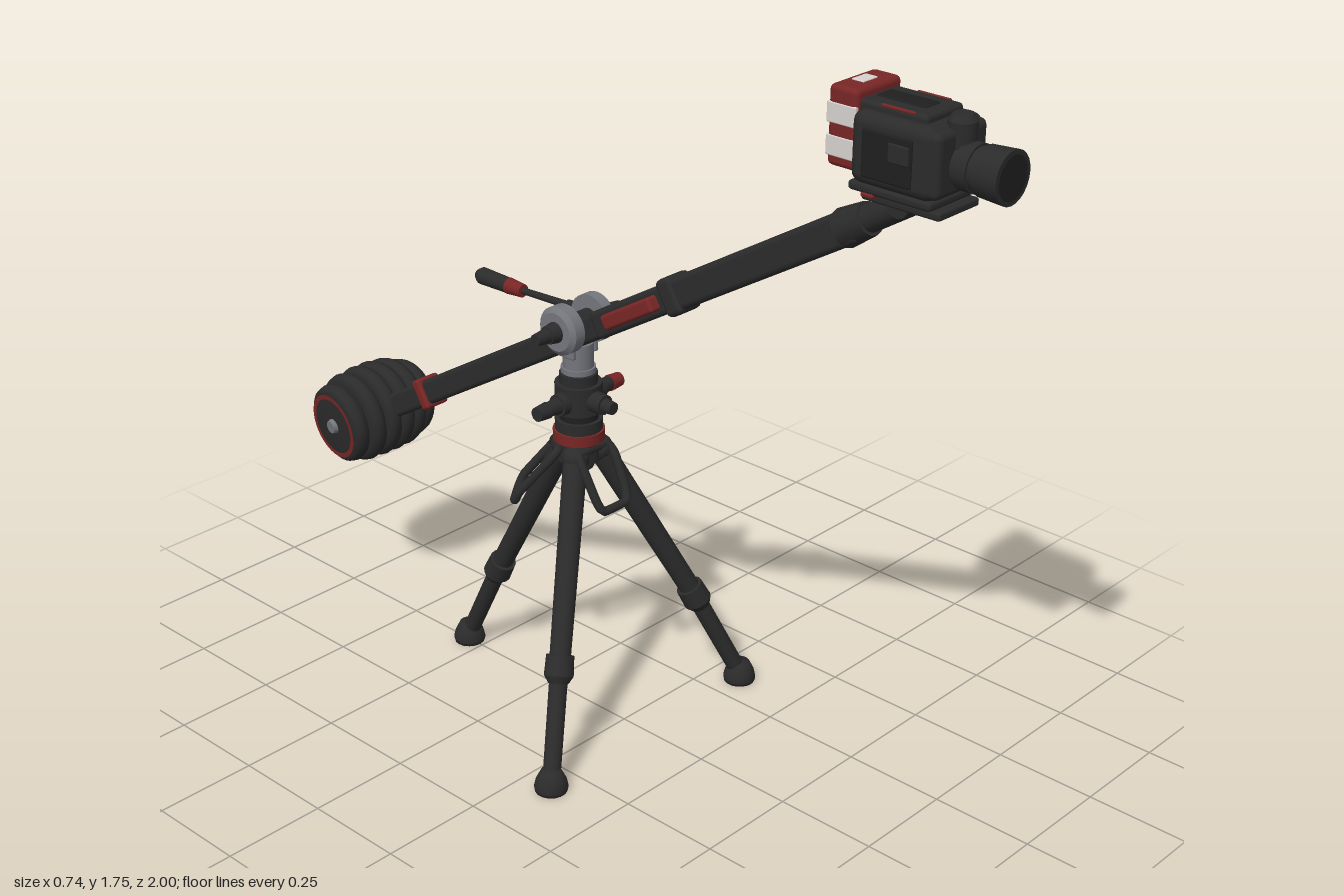
import * as THREE from 'three';
import { RoundedBoxGeometry } from 'three/addons/geometries/RoundedBoxGeometry.js';

const mat = (name, color) => {
  const m = new THREE.MeshStandardMaterial({ color });
  m.name = name;
  return m;
};

export function createModel() {
  const black = mat('matte black', 0x2b2b2c);
  const dark = mat('deep black', 0x1f1f20);
  const red = mat('dark red', 0x782625);
  const grey = mat('metal grey', 0x74767c);
  const white = mat('stripe white', 0xd6d2ce);
  const model = new THREE.Group();
  model.name = 'cameraCrane';
  const V = (x, y, z) => new THREE.Vector3(x, y, z);
  const UP = V(0, 1, 0);

  const group = (name, parent = model) => {
    const g = new THREE.Group();
    g.name = name;
    parent.add(g);
    return g;
  };
  const add = (parent, name, geo, material, x = 0, y = 0, z = 0) => {
    const m = new THREE.Mesh(geo, material);
    m.name = name;
    m.position.set(x, y, z);
    parent.add(m);
    return m;
  };
  const box = (p, name, w, h, d, material, x, y, z, r = 0.01) =>
    add(p, name, new RoundedBoxGeometry(w, h, d, 2, Math.min(r, w / 2.1, h / 2.1, d / 2.1)), material, x, y, z);
  // Cylinder from point a to point b
  const rod = (p, name, a, b, ra, rb, material, sides = 16) => {
    const dir = b.clone().sub(a);
    const m = add(p, name, new THREE.CylinderGeometry(rb, ra, dir.length(), sides), material);
    m.position.copy(a).lerp(b, 0.5);
    m.quaternion.setFromUnitVectors(UP, dir.normalize());
    return m;
  };

  // Tripod legs, turned about the tripod's own centre
  const tripod = group('tripod');
  tripod.position.z = -0.145;
  for (const angle of [-55.5, 55.5, 180]) {
    const leg = group('leg', tripod);
    leg.rotation.y = THREE.MathUtils.degToRad(angle);
    const top = V(0, 0.68, 0.048), knee = V(0, 0.26, 0.28), foot = V(0, 0.03, 0.395);
    rod(leg, 'upperLeg', top, knee, 0.029, 0.025, black);
    rod(leg, 'lowerLeg', knee, foot, 0.022, 0.021, black);
    rod(leg, 'kneeClamp', top.clone().lerp(knee, 0.95), knee.clone().lerp(foot, 0.09), 0.033, 0.035, black);
    rod(leg, 'kneeCuff', knee.clone().lerp(foot, 0.09), knee.clone().lerp(foot, 0.16), 0.035, 0.024, black);
    add(leg, 'foot', new THREE.LatheGeometry([[0, 0], [0.038, 0], [0.04, 0.01], [0.036, 0.028], [0.024, 0.052], [0, 0.056]]
      .map(([r, y]) => new THREE.Vector2(r, y)), 16), black, 0, 0, 0.4);
    add(leg, 'hipJoint', new THREE.SphereGeometry(0.033, 14, 10), black, 0, 0.68, 0.048);
  }

  // Carrying loops between the legs: angle, reach and bottom height
  for (const [angle, reach, low] of [[0, 0.115, 0.57], [142, 0.15, 0.555], [-142, 0.15, 0.555]]) {
    const loop = group('loop', tripod);
    loop.rotation.y = THREE.MathUtils.degToRad(angle);
    const path = new THREE.CatmullRomCurve3([
      V(-0.045, 0.695, 0.045), V(-0.053, 0.67, 0.065), V(-0.049, low + 0.03, reach - 0.014), V(-0.038, low, reach),
      V(0.038, low, reach), V(0.049, low + 0.03, reach - 0.014), V(0.053, 0.67, 0.065), V(0.045, 0.695, 0.045)],
    true, 'catmullrom', 0.2);
    add(loop, 'loopHandle', new THREE.TubeGeometry(path, 40, 0.011, 8, true), black);
  }

  // Fluid head: stacked rings [name, bottom, top, radius, colour]
  const head = group('head');
  head.position.z = -0.145;
  for (const [name, y0, y1, r, c] of [
    ['hub', 0.66, 0.715, 0.052, black], ['redBaseRing', 0.712, 0.738, 0.061, red], ['bowl', 0.738, 0.765, 0.056, black],
    ['neck', 0.765, 0.79, 0.046, dark], ['panBody', 0.785, 0.855, 0.056, black], ['panTop', 0.855, 0.88, 0.045, black],
    ['metalStem', 0.88, 0.955, 0.036, grey], ['stemRing', 0.882, 0.895, 0.041, grey]])
    rod(head, name, V(0, y0, 0), V(0, y1, 0), r, r, c, 24);
  rod(head, 'frontKnob', V(0, 0.82, 0.04), V(0, 0.82, 0.085), 0.026, 0.024, black);
  rod(head, 'frontKnobTip', V(0, 0.82, 0.08), V(0, 0.82, 0.112), 0.018, 0.015, black);
  rod(head, 'axle', V(-0.07, 1, 0), V(0.07, 1, 0), 0.026, 0.026, black);
  for (const s of [-1, 1]) {
    rod(head, 'pivotDisc', V(s * 0.036, 1, 0), V(s * 0.064, 1, 0), 0.058, 0.058, grey, 28);
    rod(head, 'pivotBevel', V(s * 0.064, 1, 0), V(s * 0.074, 1, 0), 0.058, 0.046, grey, 28);
    rod(head, 'pivotKnob', V(s * 0.07, 1, 0), V(s * 0.1, 1, 0), 0.026, 0.021, black);
    rod(head, 'pivotKnobTip', V(s * 0.1, 1, 0), V(s * 0.137, 1, 0), 0.018, 0.014, black);
    rod(head, 'panKnobStem', V(s * 0.05, 0.815, 0), V(s * 0.07, 0.815, 0), 0.028, 0.026, black);
    rod(head, 'panKnob', V(s * 0.07, 0.815, 0), V(s * 0.11, 0.815, 0), 0.02, 0.016, black);
    rod(head, 'panKnobTip', V(s * 0.102, 0.815, 0), V(s * 0.136, 0.815, 0), 0.02, 0.017, s > 0 ? red : black);
    box(head, 'yokeArm', 0.014, 0.08, 0.05, grey, s * 0.036, 0.965, 0, 0.005);
  }

  // Pan handle reaching backwards
  const pan = group('panHandle');
  rod(pan, 'panRod', V(0.065, 1, -0.16), V(0.055, 0.995, -0.39), 0.01, 0.008, black, 10);
  rod(pan, 'panRodClamp', V(0.065, 1, -0.19), V(0.063, 1, -0.24), 0.015, 0.011, black, 12);
  rod(pan, 'gripRedCuff', V(0.055, 0.995, -0.38), V(0.055, 0.995, -0.428), 0.016, 0.02, red);
  rod(pan, 'grip', V(0.055, 0.995, -0.428), V(0.055, 0.995, -0.52), 0.019, 0.021, black);
  rod(pan, 'gripEnd', V(0.055, 0.995, -0.52), V(0.055, 0.995, -0.533), 0.021, 0.013, black);

  // Boom, built along z and tilted about the pivot
  const boom = group('boom');
  boom.position.set(0, 0.972, -0.15);
  boom.rotation.x = -Math.atan(0.605);
  box(boom, 'rearBeam', 0.05, 0.062, 1.02, black, 0, 0, -0.31, 0.012);
  box(boom, 'middleBeam', 0.056, 0.066, 0.3, black, 0, 0, 0.24, 0.012);
  box(boom, 'frontBeam', 0.062, 0.074, 0.58, black, 0, 0, 0.64, 0.014);
  box(boom, 'middleCollar', 0.076, 0.088, 0.05, black, 0, 0, 0.365, 0.014);
  box(boom, 'sliderBlock', 0.112, 0.036, 0.17, red, 0, 0, 0.24, 0.008);
  rod(boom, 'frontKnuckle', V(0, 0, 0.89), V(0, 0, 0.96), 0.043, 0.037, black, 12);
  rod(boom, 'tipBeam', V(0, 0, 0.95), V(0, 0, 1.1), 0.03, 0.027, black);
  box(boom, 'redClamp', 0.07, 0.078, 0.028, red, 0, 0, -0.6, 0.008);

  // Counterweight plates, smaller towards the outside
  const weights = group('counterweight');
  weights.position.set(0, 0.545, -0.88);
  rod(weights, 'weightAxle', V(-0.12, 0, 0), V(0.12, 0, 0), 0.02, 0.02, dark);
  const plate = (r, t) => new THREE.LatheGeometry([[0, -t], [r * 0.84, -t], [r * 0.96, -t * 0.6], [r, 0],
    [r * 0.96, t * 0.6], [r * 0.84, t], [0, t]].map(([a, b]) => new THREE.Vector2(a, b)), 32);
  for (const s of [-1, 1]) {
    [[0.02, 0.119, 0.02], [0.062, 0.116, 0.05], [0.103, 0.103, 0.09]].forEach(([x, r, tilt], i) => {
      const holder = group('weightHolder', weights);
      holder.position.set(s * x, -0.004 * i, -0.004 * i);
      holder.rotation.set(0, s * tilt, s * -tilt);
      add(holder, 'weightPlate', plate(r, 0.024), black).rotation.z = -s * Math.PI / 2;
      if (i < 2) return;
      const ring = add(holder, 'redRing', new THREE.RingGeometry(0.073, 0.085, 40), red, s * 0.0255);
      ring.rotation.y = s * Math.PI / 2;
      rod(holder, 'hubCap', V(s * 0.02, 0, 0), V(s * 0.034, 0, 0), 0.021, 0.016, grey);
    });
  }

  // Camera mount
  const mount = group('cameraMount');
  rod(mount, 'tiltJoint', V(-0.045, 1.532, 0.77), V(0.045, 1.532, 0.77), 0.026, 0.026, black);
  box(mount, 'lowerPlate', 0.13, 0.018, 0.19, black, 0, 1.542, 0.79, 0.006);
  box(mount, 'upperPlate', 0.155, 0.02, 0.2, black, 0, 1.561, 0.77, 0.008);
  box(mount, 'redLatch', 0.16, 0.008, 0.03, red, 0, 1.55, 0.72, 0.003);

  // Camera
  const cam = group('camera');
  box(cam, 'cameraBody', 0.172, 0.148, 0.2, black, 0, 1.643, 0.775, 0.024);
  box(cam, 'frontHousing', 0.16, 0.135, 0.035, black, 0, 1.642, 0.868, 0.016);
  box(cam, 'topDeck', 0.12, 0.03, 0.17, black, 0, 1.718, 0.755, 0.01);
  box(cam, 'topRail', 0.05, 0.012, 0.12, dark, 0, 1.73, 0.75, 0.005);
  for (const s of [-1, 1]) {
    box(cam, 'sidePanel', 0.012, 0.1, 0.12, dark, s * 0.085, 1.64, 0.77, 0.005);
    box(cam, 'sideControls', 0.01, 0.04, 0.05, black, s * 0.089, 1.655, 0.8, 0.004);
    box(cam, 'redTrim', 0.006, 0.006, 0.08, red, s * 0.056, 1.731, 0.77, 0.002);
  }
  rod(cam, 'viewfinder', V(0, 1.66, 0.88), V(0, 1.722, 0.88), 0.028, 0.03, black);
  rod(cam, 'viewfinderCap', V(0, 1.722, 0.88), V(0, 1.736, 0.88), 0.03, 0.02, black);
  rod(cam, 'lensBarrel', V(0, 1.635, 0.87), V(0, 1.635, 0.955), 0.045, 0.045, black, 24);
  rod(cam, 'focusRing', V(0, 1.635, 0.895), V(0, 1.635, 0.925), 0.05, 0.05, black, 24);
  rod(cam, 'lensHood', V(0, 1.635, 0.94), V(0, 1.635, 1.0), 0.052, 0.056, black, 24);
  rod(cam, 'lensGlass', V(0, 1.635, 0.998), V(0, 1.635, 1.001), 0.046, 0.046, dark, 24);

  // Battery with wrap-around white stripes
  box(cam, 'battery', 0.142, 0.166, 0.072, red, 0, 1.668, 0.646, 0.012);
  for (const y of [1.695, 1.628])
    box(cam, 'whiteStripe', 0.145, 0.043, 0.072, white, 0, y, 0.6445, 0.003);
  box(cam, 'topMark', 0.045, 0.005, 0.03, white, 0, 1.751, 0.643, 0.002);
  return model;
}
